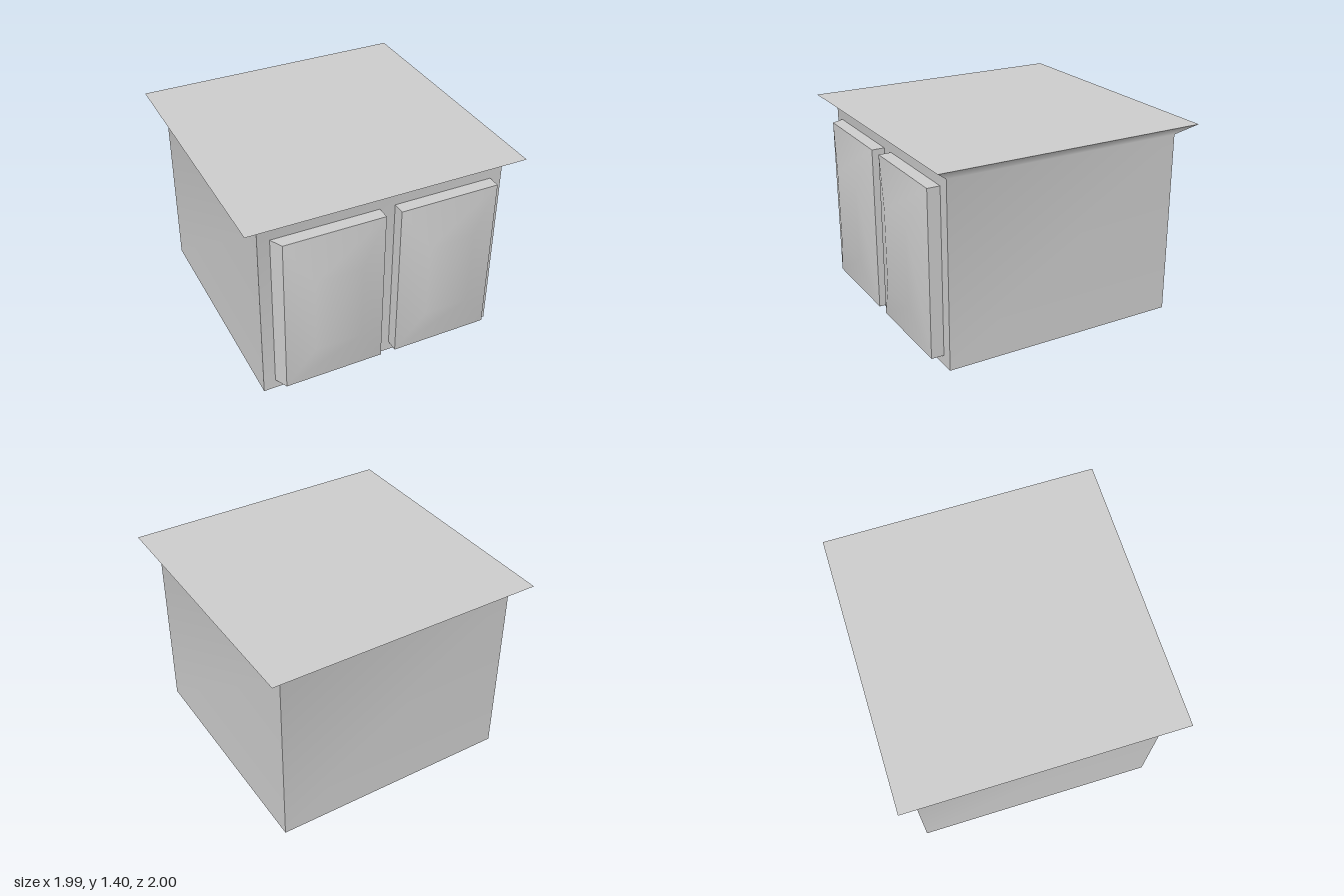
import * as THREE from 'three';

const material = new THREE.MeshStandardMaterial({ color: 0xcccccc });

// Indexed geometry from points and quads; normals are smooth across shared points
function surface(points, quads) {
  const g = new THREE.BufferGeometry();
  g.setAttribute('position', new THREE.Float32BufferAttribute(points.flat(), 3));
  g.setIndex(quads.flatMap(([a, b, c, d]) => [a, b, c, a, c, d]));
  g.computeVertexNormals();
  return g;
}

function add(group, name, points, quads) {
  const mesh = new THREE.Mesh(surface(points, quads), material);
  mesh.name = name;
  group.add(mesh);
}

// Rectangles, counter-clockwise seen from +y and from +z
const flatRect = (x0, x1, z0, z1, y) => [[x0, y, z1], [x1, y, z1], [x1, y, z0], [x0, y, z0]];
const frontRect = (x0, x1, y0, y1, z) => [[x0, y0, z], [x1, y0, z], [x1, y1, z], [x0, y1, z]];

// Four strips around a stack of rectangles, with sharp corners between strips
function addSides(group, name, rings) {
  for (let i = 0; i < 4; i++) {
    const points = rings.flatMap(r => [r[i], r[(i + 1) % 4]]);
    const quads = rings.slice(1).map((_, k) => [2 * k, 2 * k + 1, 2 * k + 3, 2 * k + 2]);
    add(group, name, points, quads);
  }
}

// Door: box-like edge, then a bevelled front rising to a small raised panel
function door(name, back, front, panel) {
  const group = new THREE.Group();
  group.name = name;
  const [y0, y1] = [0.07, 1.25];
  const backRing = frontRect(...back, y0, y1, 0.85);
  const frontRing = frontRect(...front, y0, y1, 0.94);
  const panelRing = frontRect(...panel, 0.38, 0.94, 1.0);
  addSides(group, 'doorEdge', [backRing, frontRing]);
  const bevels = [0, 1, 2, 3].map(i => [i, (i + 1) % 4, 4 + (i + 1) % 4, 4 + i]);
  add(group, 'doorFront', [...frontRing, ...panelRing], [...bevels, [4, 5, 6, 7]]);
  return group;
}

export function createModel() {
  const model = new THREE.Group();
  model.name = 'cabinet';

  // Walls flaring out into the overhanging worktop
  const base = flatRect(-0.88, 0.88, -0.89, 0.85, 0);
  const neck = flatRect(-0.88, 0.88, -0.89, 0.85, 1.32);
  const rim = flatRect(-0.995, 0.99, -1.0, 0.96, 1.405);
  addSides(model, 'wall', [base, neck, rim]);
  add(model, 'worktop', rim, [[0, 1, 2, 3]]);
  add(model, 'underside', base, [[3, 2, 1, 0]]);

  // The right door has one slanted outer edge
  model.add(door('rightDoor', [-0.795, -0.035], [-0.75, -0.035], [-0.56, -0.22]));
  model.add(door('leftDoor', [0.075, 0.795], [0.075, 0.795], [0.27, 0.6]));

  return model;
}
